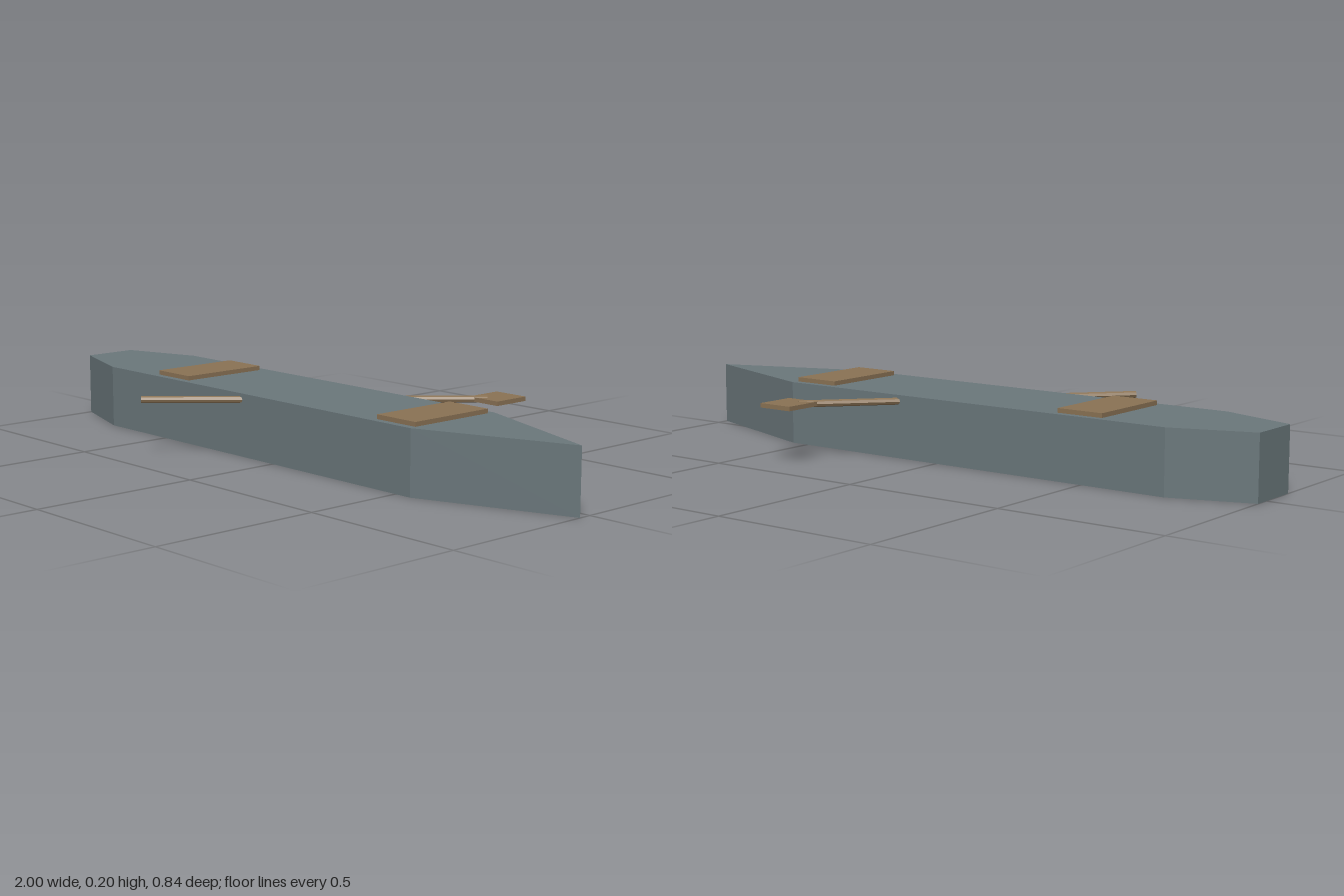
import * as THREE from 'three';

const MID = 0.038; // centre line of the boat in z
const DECK = 0.187;

export function createModel() {
  const boat = new THREE.Group();
  boat.name = 'rowingBoat';

  const hullGrey = new THREE.MeshStandardMaterial({ color: 0x6b787c, flatShading: true });
  hullGrey.name = 'hullGrey';
  const wood = new THREE.MeshStandardMaterial({ color: 0x8b7355, flatShading: true });
  wood.name = 'wood';

  const add = (name, geometry, material, x, y, z) => {
    const mesh = new THREE.Mesh(geometry, material);
    mesh.name = name;
    mesh.position.set(x, y, z);
    boat.add(mesh);
    return mesh;
  };

  // Hull: plan outline with pointed bow (+x) and blunt stern, extruded upward
  const outline = new THREE.Shape([
    [-1, -0.082], [-0.765, -0.162], [0.555, -0.162], [1, 0],
    [0.555, 0.162], [-0.765, 0.162], [-1, 0.082],
  ].map(([x, y]) => new THREE.Vector2(x, y)));
  const hull = new THREE.ExtrudeGeometry(outline, { depth: DECK, bevelEnabled: false });
  hull.rotateX(-Math.PI / 2);
  add('hull', hull, hullGrey, 0, 0, MID);

  // Two bench seats, slightly proud of the deck
  const seat = new THREE.BoxGeometry(0.145, 0.026, 0.28);
  add('sternSeat', seat, wood, -0.481, DECK, MID);
  add('bowSeat', seat, wood, 0.478, DECK, MID);

  // Oar lying diagonally across the boat, with a square blade at the back end
  const oarY = 0.168;
  const along = new THREE.Vector3(0.335, 0, -0.373);
  const shaft = add('oarShaft',
    new THREE.CylinderGeometry(0.0105, 0.0105, along.length() * 2, 8), wood, 0, oarY, MID);
  shaft.quaternion.setFromUnitVectors(new THREE.Vector3(0, 1, 0), along.clone().normalize());
  add('oarBlade', new THREE.BoxGeometry(0.112, 0.013, 0.12), wood, 0.35, oarY, -0.36);

  return boat;
}
